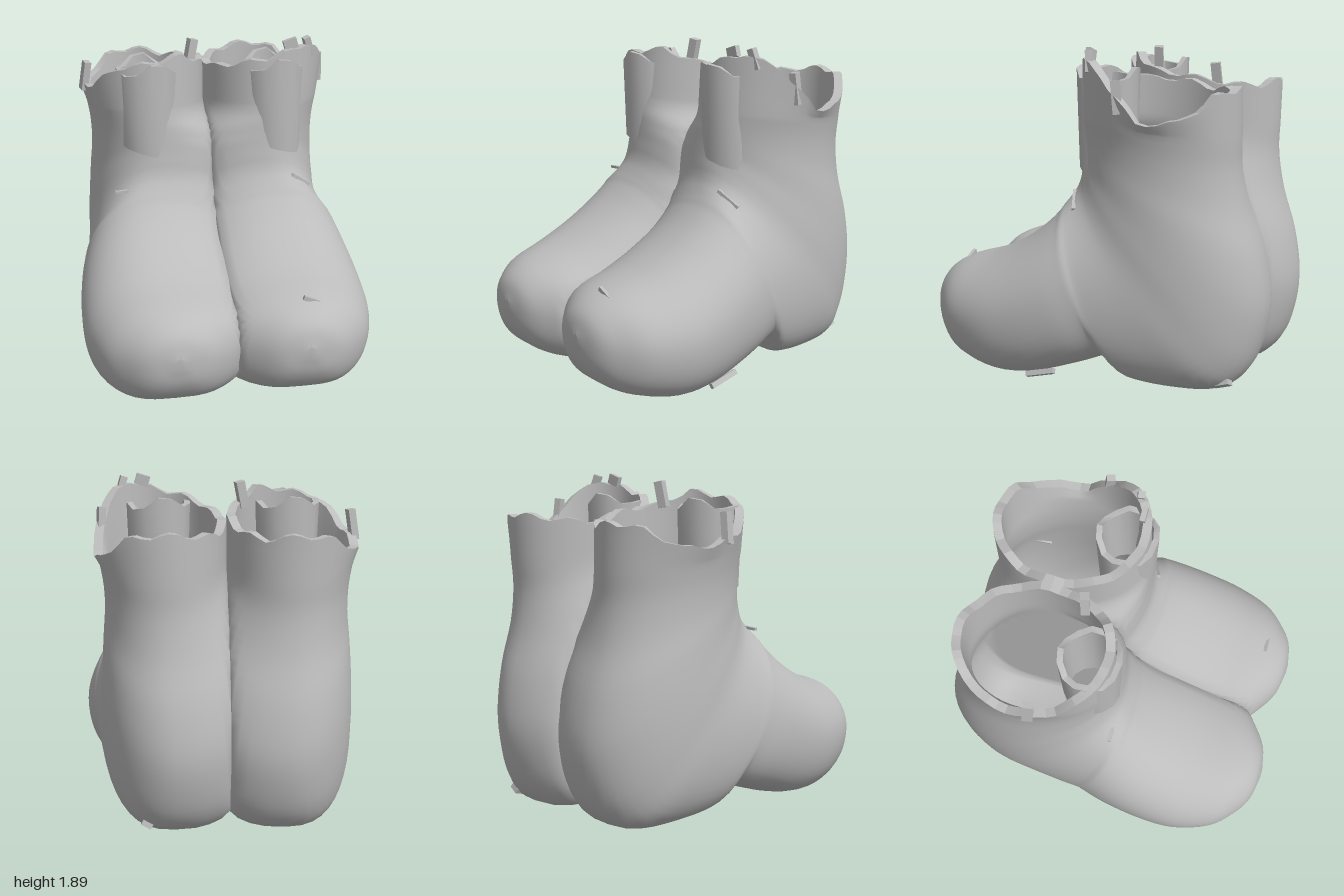
import * as THREE from 'three';
import { toCreasedNormals } from 'three/addons/utils/BufferGeometryUtils.js';

const grey = new THREE.MeshStandardMaterial({ color: 0xbcbcbc, side: THREE.DoubleSide });
grey.name = 'plain grey';

const RING = 48, STEPS = 76, WALL = 0.05;
const { lerp, smoothstep, clamp } = THREE.MathUtils;

// Cross-sections from toe tip to cuff: instep z, y, sole z, y, half width, centre x
const sections = [
  [1.0, 0.42, 1.0, 0.36, 0.03, 0.36],
  [0.97, 0.52, 0.97, 0.24, 0.17, 0.36],
  [0.90, 0.59, 0.89, 0.13, 0.28, 0.36],
  [0.79, 0.64, 0.75, 0.06, 0.37, 0.38],
  [0.60, 0.70, 0.52, 0.01, 0.42, 0.40],
  [0.42, 0.79, 0.28, 0.03, 0.43, 0.40],
  [0.28, 0.89, 0.00, 0.12, 0.415, 0.395],
  [0.19, 0.98, -0.16, 0.175, 0.40, 0.38],
  [0.155, 1.03, -0.21, 0.13, 0.40, 0.37],
  [0.13, 1.07, -0.30, 0.045, 0.405, 0.35],
  [0.105, 1.12, -0.55, 0.015, 0.41, 0.325],
  [0.092, 1.17, -0.78, 0.03, 0.41, 0.31],
  [0.086, 1.22, -0.90, 0.13, 0.41, 0.30],
  [0.08, 1.27, -0.97, 0.30, 0.41, 0.295],
  [0.076, 1.32, -1.00, 0.52, 0.40, 0.295],
  [0.073, 1.37, -0.96, 0.78, 0.375, 0.31],
  [0.07, 1.42, -0.88, 1.03, 0.35, 0.325],
  [0.065, 1.47, -0.84, 1.25, 0.34, 0.34],
  [0.06, 1.53, -0.84, 1.43, 0.35, 0.35],
  [0.05, 1.62, -0.84, 1.62, 0.365, 0.365],
];
const spline = (pick) => new THREE.CatmullRomCurve3(
  sections.map((s) => new THREE.Vector3(...pick(s))), false, 'catmullrom', 0.5);
const topLine = spline((s) => [0, s[1], s[0]]);
const soleLine = spline((s) => [0, s[3], s[2]]);
const widthLine = spline((s) => [s[4], s[5], 0]);

// Torn cuff heights every 30 degrees: front, outer side, back, inner side
const cuffLeft = [1.80, 1.86, 1.77, 1.53, 1.54, 1.67, 1.70, 1.68, 1.66, 1.70, 1.71, 1.76];
const cuffRight = [1.79, 1.76, 1.63, 1.57, 1.56, 1.66, 1.69, 1.66, 1.68, 1.72, 1.74, 1.82];

function cuffHeight(list, k) {
  const f = (k / RING) * 12, i = Math.floor(f) % 12;
  return lerp(list[i], list[(i + 1) % 12], f - Math.floor(f)) + 0.015 * Math.sin(k * 1.3);
}

// One closed ring of the boot skin, inset for the lining
function ring(step, side, cuff, inset) {
  const t = step / STEPS;
  const top = topLine.getPoint(t), sole = soleLine.getPoint(t), w = widthLine.getPoint(t);
  const mid = top.clone().add(sole).multiplyScalar(0.5);
  const half = top.clone().sub(mid);
  half.setLength(Math.max(half.length() - inset, 0.005));
  const width = Math.max(w.x - inset, 0.005);
  // The inner side is pressed flat against the other boot; the sole is boxier than the instep
  const press = 1 + 0.3 * smoothstep(t, 0.08, 0.2) * (1 - smoothstep(t, 0.8, 0.95));
  const soleBox = lerp(0.55, 1, smoothstep(t, 0.45, 0.75));
  const tear = clamp((t - 0.947) / 0.053, 0, 1);
  return Array.from({ length: RING }, (_, k) => {
    const a = (k / RING) * Math.PI * 2, c = Math.cos(a), s = Math.sin(a);
    const p = mid.clone().addScaledVector(half, c);
    const reach = width * Math.abs(s) ** (c < 0 ? soleBox : 0.95);
    p.x = side * Math.max(w.y + (s < 0 ? -reach * press : reach), inset);
    p.y += tear * (cuffHeight(cuff, k) - 1.62);
    return p;
  });
}

// Skin a list of rings; flip reverses the faces
function loft(rings, flip, cap) {
  const pos = rings.flat().flatMap((p) => [p.x, p.y, p.z]);
  const idx = [];
  const tri = (a, b, c) => (flip ? idx.push(a, c, b) : idx.push(a, b, c));
  for (let r = 0; r < rings.length - 1; r++) {
    for (let k = 0; k < RING; k++) {
      const a = r * RING + k, b = r * RING + ((k + 1) % RING);
      tri(a, b, a + RING);
      tri(b, b + RING, a + RING);
    }
  }
  if (cap) for (let k = 1; k < RING - 1; k++) tri(0, k + 1, k);
  const g = new THREE.BufferGeometry();
  g.setAttribute('position', new THREE.Float32BufferAttribute(pos, 3));
  g.setIndex(idx);
  g.computeVertexNormals();
  return g;
}

function add(parent, name, geometry) {
  const mesh = new THREE.Mesh(geometry, grey);
  mesh.name = name;
  parent.add(mesh);
  return mesh;
}

// Curled roll of material at the front of the cuff
function frontRoll(rTop, rLow, low, high) {
  const profile = [[rLow - 0.03, low], [rLow, low], [rTop, high], [rTop - 0.035, high], [rLow - 0.03, low]];
  const g = new THREE.LatheGeometry(profile.map(([x, y]) => new THREE.Vector2(x, y)), 14);
  const p = g.attributes.position;
  for (let i = 0; i < p.count; i++) {
    const a = Math.atan2(p.getX(i), p.getZ(i));
    if (p.getY(i) > (low + high) / 2) p.setY(i, p.getY(i) + 0.05 * Math.sin(a * 3 + 1) * Math.cos(a));
    else p.setY(i, p.getY(i) - 0.05 * Math.sin(a));
  }
  return toCreasedNormals(g.toNonIndexed(), 0.7);
}

function boot(side, cuff) {
  const g = new THREE.Group();
  g.name = side > 0 ? 'leftBoot' : 'rightBoot';
  const flip = side < 0;
  const outer = [], lining = [];
  for (let i = 0; i <= STEPS; i++) {
    outer.push(ring(i, side, cuff, 0));
    if (i >= 8) lining.push(ring(i, side, cuff, WALL));
  }
  add(g, 'bootShell', loft(outer, flip, true));
  add(g, 'bootLining', loft(lining, !flip, true));
  const edge = loft([outer[STEPS], lining[lining.length - 1]], flip, false);
  add(g, 'tornEdge', toCreasedNormals(edge.toNonIndexed(), 0.2));

  const roll = add(g, 'frontRoll', frontRoll(0.185, 0.17, 1.25, 1.75));
  roll.position.set(side * 0.37, 0, -0.075);
  roll.scale.z = 0.95;
  return g;
}

// Loose splinters: position, size, rotation
const splinters = [
  [[0.69, 1.66, -0.27], [0.04, 0.18, 0.05], [0.1, 0.3, 0.05]],
  [[-0.71, 1.65, -0.32], [0.04, 0.17, 0.06], [0.1, 0.2, -0.15]],
  [[-0.10, 1.80, -0.18], [0.05, 0.15, 0.05], [0, 0.3, -0.2]],
  [[0.58, 1.83, -0.06], [0.04, 0.12, 0.04], [0.1, 0.2, 0.3]],
  [[0.46, 1.86, -0.01], [0.08, 0.06, 0.03], [0, 0, 0.3]],
  [[0.11, 1.42, -0.10], [0.02, 0.26, 0.02], [0, 0, -0.4]],
  [[-0.07, 1.21, -0.10], [0.02, 0.14, 0.02], [0, 0, -0.2]],
  [[0.45, 0.60, 0.83], [0.21, 0.025, 0.02], [0, 0, -0.4]],
  [[-0.50, 1.05, 0.08], [0.18, 0.015, 0.02], [0, 0, 0.05]],
  [[0.52, 1.05, 0.07], [0.15, 0.02, 0.02], [0, 0.4, -0.6]],
  [[0.67, 0.06, 0.22], [0.03, 0.03, 0.18], [0.25, 0, 0.5]],
  [[0.46, 0.08, -0.80], [0.06, 0.03, 0.1], [0.3, 0, 0.5]],
  [[0.59, 0.88, -0.70], [0.015, 0.015, 0.15], [0.6, 0.3, 0]],
];

export function createModel() {
  const model = new THREE.Group();
  model.name = 'tornBoots';
  model.add(boot(1, cuffLeft), boot(-1, cuffRight));
  for (const [p, s, r] of splinters) {
    const m = add(model, 'splinter', new THREE.BoxGeometry(...s));
    m.position.set(...p);
    m.rotation.set(...r);
  }
  return model;
}
